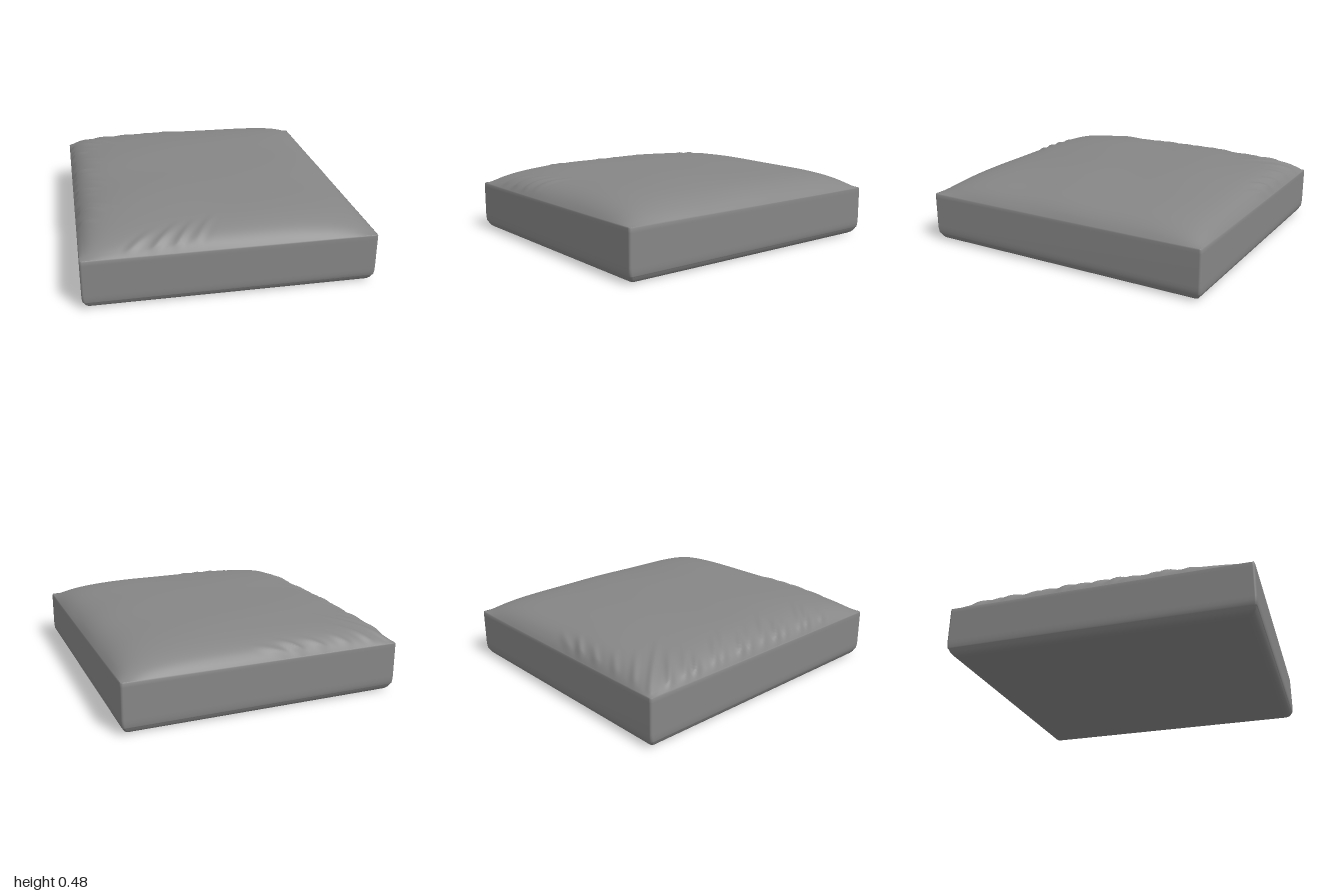
import * as THREE from 'three';

const W = 0.92, D = 1, SEAM = 0.33, CROWN = 0.148, TUCK = 0.005;
const material = new THREE.MeshStandardMaterial({ color: 0x868686, side: THREE.DoubleSide });

// Rounded rectangle outline in the xz plane, pulled in by an inset
function outline(inset) {
  const r = 0.016, pts = [], sx = [1, -1, -1, 1], sz = [1, 1, -1, -1];
  for (let c = 0; c < 4; c++)
    for (let k = 0; k <= 4; k++) {
      const a = (c + k / 4) * Math.PI / 2;
      pts.push([sx[c] * (W - inset - r) + r * Math.cos(a), sz[c] * (D - inset - r) + r * Math.sin(a)]);
    }
  return pts;
}

// Skin a stack of [inset, y] rings from bottom to top
function loft(rings, capBottom) {
  const pos = [], idx = [], n = outline(0).length;
  for (const [inset, y] of rings) for (const [x, z] of outline(inset)) pos.push(x, y, z);
  for (let r = 0; r < rings.length - 1; r++)
    for (let i = 0; i < n; i++) {
      const a = r * n + i, b = r * n + (i + 1) % n;
      idx.push(a, a + n, b, b, a + n, b + n);
    }
  if (capBottom) {
    const centre = pos.length / 3;
    pos.push(0, rings[0][1], 0);
    for (let i = 0; i < n; i++) idx.push(centre, i, (i + 1) % n);
  }
  const g = new THREE.BufferGeometry();
  g.setAttribute('position', new THREE.Float32BufferAttribute(pos, 3));
  g.setIndex(idx);
  g.computeVertexNormals();
  return g;
}

// Fabric folds: start x, z, end x, z, half width, height
const folds = [
  [-0.62, 0.97, -0.42, 0.82, 0.028, 0.007], [-0.47, 0.97, -0.27, 0.78, 0.028, 0.010],
  [-0.33, 0.96, -0.18, 0.77, 0.026, 0.009], [-0.20, 0.93, -0.05, 0.72, 0.028, 0.007],
  [-0.24, -0.98, -0.06, -0.86, 0.024, 0.014], [-0.40, -0.98, -0.22, -0.87, 0.024, 0.010],
  [-0.12, -0.98, 0.10, -0.89, 0.026, 0.008], [-0.58, -0.98, -0.40, -0.84, 0.026, 0.008],
  [-0.86, -0.95, -0.46, -0.53, 0.026, 0.009], [-0.74, -0.97, -0.50, -0.74, 0.026, 0.008]
];
// Gathers along the left edge of the plan
for (let i = 0; i < 13; i++) {
  const z = -0.84 + i * 0.115 + 0.025 * Math.sin(i * 2.7);
  const len = 0.21 + 0.07 * Math.sin(i * 1.9 + 1);
  folds.push([-0.905, z, -0.905 + len, z + len * 0.85, 0.026, 0.012 + 0.004 * Math.sin(i * 4.1)]);
}

function wrinkle(x, z) {
  let h = 0;
  for (const [x0, z0, x1, z1, w, a] of folds) {
    const dx = x1 - x0, dz = z1 - z0, len = Math.hypot(dx, dz);
    const t = ((x - x0) * dx + (z - z0) * dz) / (len * len);
    if (t < -0.2 || t > 1) continue;
    const s = ((x - x0) * dz - (z - z0) * dx) / len / w;
    const fade = t < 0.15 ? Math.sin((t + 0.2) / 0.35 * Math.PI / 2) : (1 + Math.cos((t - 0.15) / 0.85 * Math.PI)) / 2;
    h += a * fade * (1 - s * s) * Math.exp(-s * s * 0.8);
  }
  return h;
}

// Steep shoulder beside the seam followed by a slow rise to the middle
const swell = (d, half, shoulder) =>
  0.6 * (1 - Math.exp(-d / shoulder)) + 0.4 * (1 - Math.abs(1 - d / half) ** 3);

function topGeometry() {
  const g = new THREE.PlaneGeometry(2, 2, 150, 150).rotateX(-Math.PI / 2);
  const p = g.attributes.position;
  // Crowd the grid lines towards the edges
  const spread = u => 0.35 * u + 0.65 * Math.sin(u * Math.PI / 2);
  for (let i = 0; i < p.count; i++) {
    const x = spread(p.getX(i)) * (W - TUCK), z = spread(p.getZ(i)) * (D - TUCK);
    const dx = W - TUCK - Math.abs(x), dz = D - TUCK - Math.abs(z);
    const puff = swell(dx, W, x < 0 ? 0.06 : 0.075) * swell(dz, D, z < 0 ? 0.06 : 0.075);
    const edge = Math.min(1, dx / 0.03) * Math.min(1, dz / 0.03);
    const ripple = 0.0035 * Math.sin(x * 5 + z * 3) * Math.sin(z * 6 - x * 2 + 1);
    p.setXYZ(i, x, SEAM + CROWN * puff * (1 - 0.04 * x) + edge * (wrinkle(x, z) + ripple), z);
  }
  g.computeVertexNormals();
  return g;
}

export function createModel() {
  const group = new THREE.Group();
  group.name = 'seatCushion';
  const add = (name, geometry) => {
    const mesh = new THREE.Mesh(geometry, material);
    mesh.name = name;
    group.add(mesh);
  };
  // Puffed top with gathered folds
  add('topPanel', topGeometry());
  // Upright wall between the two seams
  add('sideBand', loft([[0.009, 0.043], [0.004, 0.05], [0.001, 0.075], [0, 0.1], [0, 0.3], [0, 0.325], [TUCK, 0.331]]));
  // Flat underside with a rolled edge
  add('bottomPanel', loft([[0.065, 0], [0.045, 0.003], [0.03, 0.011], [0.018, 0.025], [0.009, 0.044]], true));
  return group;
}
